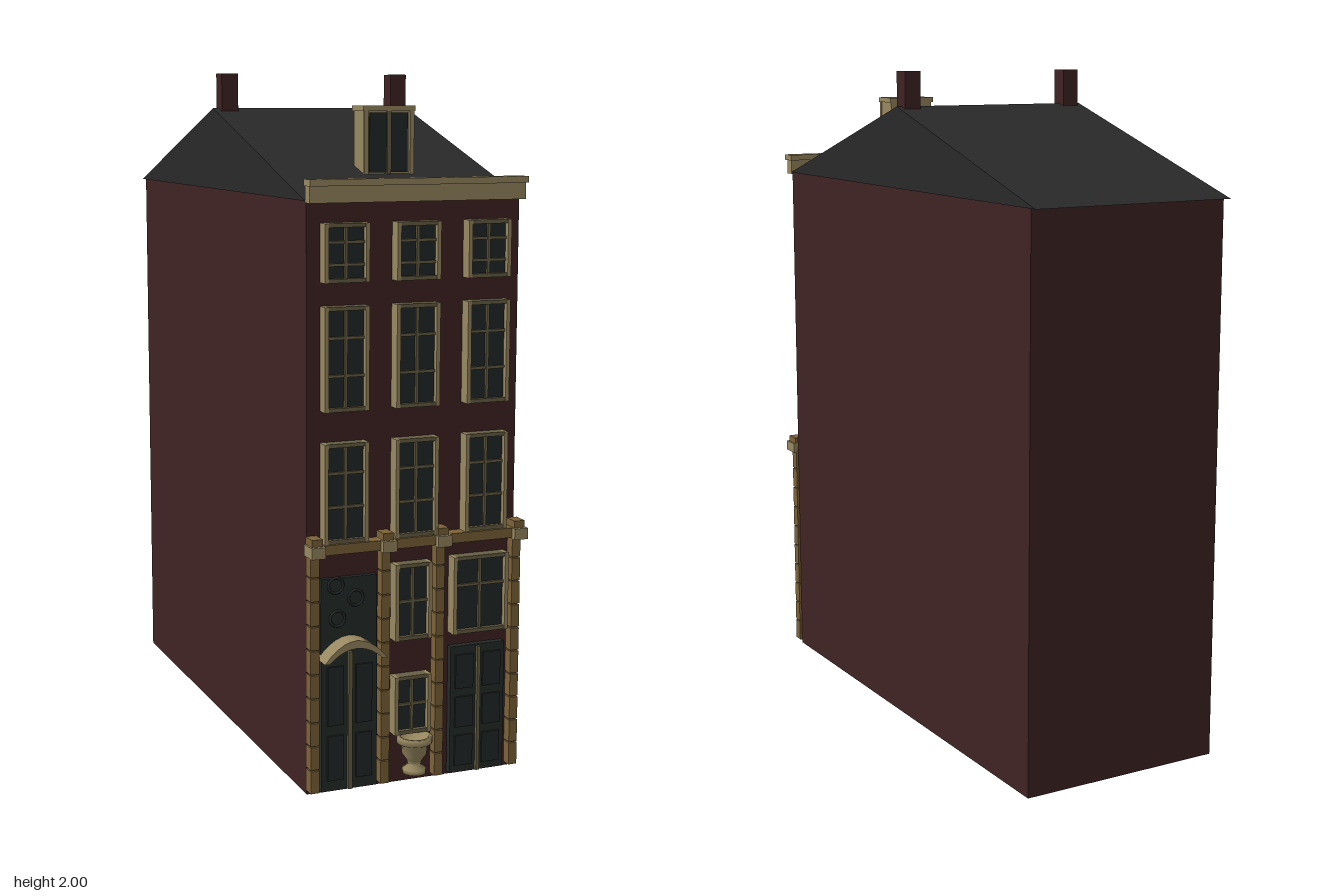
import * as THREE from 'three';

const material = (name, color) => {
  const m = new THREE.MeshStandardMaterial({ color });
  m.name = name;
  return m;
};

export function createModel() {
  const brick = material('brick', 0x402323);
  const slate = material('roof slate', 0x292929);
  const stone = material('pale stone', 0x988860);
  const ochre = material('ochre stone', 0x7c6238);
  const glass = material('dark glass', 0x232727);
  const wood = material('dark door wood', 0x252b2a);
  const bars = material('window bars', 0x686044);

  const model = new THREE.Group();
  model.name = 'townhouse';
  const WALL = 0.742; // front wall plane

  const add = (name, geometry, mat, parent = model) => {
    const mesh = new THREE.Mesh(geometry, mat);
    mesh.name = name;
    parent.add(mesh);
    return mesh;
  };
  // Box given by its limits on each axis
  const box = (name, mat, x0, x1, y0, y1, z0, z1, parent = model) => {
    const g = new THREE.BoxGeometry(x1 - x0, y1 - y0, z1 - z0);
    g.translate((x0 + x1) / 2, (y0 + y1) / 2, (z0 + z1) / 2);
    return add(name, g, mat, parent);
  };
  const group = (name) => {
    const g = new THREE.Group();
    g.name = name;
    model.add(g);
    return g;
  };

  // Brick body and gabled roof
  box('body', brick, -0.322, 0.313, 0, 1.657, -0.783, WALL);
  const gable = new THREE.Shape([[-0.81, 1.655], [0.747, 1.655], [-0.028, 1.897]].map((p) => new THREE.Vector2(...p)));
  const roof = new THREE.ExtrudeGeometry(gable, { depth: 0.642, bevelEnabled: false });
  roof.rotateY(-Math.PI / 2).translate(0.316, 0, 0);
  add('roof', roof, slate);

  // Chimneys on the ridge
  for (const x of [-0.281, 0.274]) box('chimney', brick, x - 0.026, x + 0.026, 1.83, 2, -0.051, 0.001);

  // Roof cornice
  box('cornice', stone, -0.326, 0.316, 1.65, 1.695, WALL, 0.776);
  box('corniceCap', stone, -0.328, 0.32, 1.695, 1.713, 0.737, 0.785);

  // Dormer
  const dormer = group('dormer');
  box('dormerBody', stone, -0.076, 0.072, 1.7, 1.893, 0.482, 0.552, dormer);
  box('dormerTop', stone, -0.081, 0.077, 1.89, 1.905, 0.478, 0.561, dormer);
  box('dormerGlass', glass, -0.06, 0.056, 1.72, 1.885, 0.55, 0.556, dormer);
  for (const x of [-0.072, -0.002, 0.068])
    box('dormerPost', x < -0.05 || x > 0.05 ? stone : bars, x - 0.006, x + 0.006, 1.715, 1.89, 0.55, 0.561, dormer);

  // Sash window with frame, centre bar and cross bars
  const sash = (name, cx, w, y0, y1, crossBars) => {
    const g = group(name);
    const x0 = cx - w / 2, x1 = cx + w / 2, t = 0.011;
    box('glass', glass, x0 + t, x1 - t, y0 + t, y1 - t, WALL, 0.764, g);
    box('leftJamb', stone, x1 - t, x1, y0, y1, WALL, 0.78, g);
    box('rightJamb', stone, x0, x0 + t, y0, y1, WALL, 0.78, g);
    box('head', bars, x0 + t, x1 - t, y1 - t, y1, WALL, 0.777, g);
    box('sill', bars, x0 + t, x1 - t, y0, y0 + t, WALL, 0.777, g);
    box('centreBar', bars, cx - 0.004, cx + 0.004, y0 + t, y1 - t, 0.76, 0.772, g);
    for (const f of crossBars) {
      const y = y0 + f * (y1 - y0);
      box('crossBar', bars, x0 + t, x1 - t, y - 0.004, y + 0.004, 0.76, 0.77, g);
    }
  };
  for (const cx of [-0.218, -0.007, 0.207]) {
    sash('firstFloorWindow', cx, 0.13, 0.722, 1.0, [0.36, 0.7]);
    sash('secondFloorWindow', cx, 0.13, 1.087, 1.373, [0.34, 0.7]);
    sash('topFloorWindow', cx, 0.13, 1.437, 1.596, [0.3, 0.68]);
  }
  sash('middleWindow', -0.014, 0.112, 0.425, 0.645, [0.5]);
  sash('lowerWindow', -0.014, 0.112, 0.15, 0.32, [0.5]);
  sash('shopWindow', 0.195, 0.172, 0.425, 0.65, [0.62]);

  // Banded pilasters carrying the string course
  box('stringCourse', ochre, -0.325, 0.318, 0.694, 0.722, WALL, 0.785);
  for (const cx of [-0.309, -0.097, 0.07, 0.308]) {
    const g = group('pilaster');
    box('core', ochre, cx - 0.01, cx + 0.01, 0.01, 0.7, WALL, 0.766, g);
    for (let i = 0; i < 10; i++)
      box('band', ochre, cx - 0.013, cx + 0.013, 0.012 + i * 0.069, 0.077 + i * 0.069, WALL, 0.773, g);
    box('capital', stone, cx - 0.021, cx + 0.021, 0.69, 0.722, WALL, 0.802, g);
    box('capitalBlock', ochre, cx - 0.016, cx + 0.016, 0.722, 0.742, WALL, 0.79, g);
  }

  // Arched double door with hood and panel above
  const entrance = group('entrance');
  const dx = -0.202, half = 0.084;
  const arch = new THREE.Shape();
  arch.moveTo(-half, 0.008).lineTo(half, 0.008).lineTo(half, 0.395);
  arch.quadraticCurveTo(0, 0.475, -half, 0.395).closePath();
  const leaf = new THREE.ExtrudeGeometry(arch, { depth: 0.02, bevelEnabled: false, curveSegments: 10 });
  add('archedDoor', leaf.translate(dx, 0, WALL), wood, entrance);
  box('doorCentre', bars, dx - 0.006, dx + 0.006, 0.01, 0.41, 0.76, 0.772, entrance);
  for (const s of [-1, 1]) {
    const x = dx + s * 0.043;
    box('doorPanel', glass, x - 0.024, x + 0.024, 0.04, 0.17, 0.76, 0.768, entrance);
    box('doorPanel', glass, x - 0.024, x + 0.024, 0.2, 0.37, 0.76, 0.768, entrance);
  }
  const hood = new THREE.Shape();
  hood.moveTo(-0.094, 0.395).lineTo(-0.08, 0.395).quadraticCurveTo(0, 0.468, 0.08, 0.395);
  hood.lineTo(0.094, 0.395).quadraticCurveTo(0, 0.513, -0.094, 0.395);
  const hoodGeo = new THREE.ExtrudeGeometry(hood, { depth: 0.072, bevelEnabled: false, curveSegments: 10 });
  add('archHood', hoodGeo.translate(dx, 0, WALL), stone, entrance);
  box('upperPanel', wood, dx - half, dx + half, 0.4, 0.62, WALL, 0.757, entrance);
  for (const [x, y] of [[-0.04, 0.6], [0.02, 0.56], [-0.035, 0.505]]) {
    const ring = add('ornamentRing', new THREE.TorusGeometry(0.022, 0.004, 6, 16), glass, entrance);
    ring.position.set(dx + x, y, 0.759);
  }

  // Panelled double door on the left bay
  const shop = group('shopDoor');
  box('doorLeaves', wood, 0.11, 0.28, 0.008, 0.385, WALL, 0.762, shop);
  box('doorCentre', bars, 0.19, 0.2, 0.01, 0.38, 0.76, 0.772, shop);
  for (const x of [0.152, 0.238])
    for (const [y0, y1] of [[0.03, 0.12], [0.145, 0.235], [0.26, 0.36]])
      box('doorPanel', glass, x - 0.028, x + 0.028, y0, y1, 0.76, 0.768, shop);

  // Urn in front of the middle bay
  const profile = [[0, 0.042], [0.034, 0.042], [0.034, 0.055], [0.018, 0.066], [0.022, 0.08], [0.036, 0.1],
    [0.038, 0.125], [0.051, 0.132], [0.051, 0.15], [0.04, 0.15], [0.034, 0.13], [0, 0.13]];
  const urn = new THREE.LatheGeometry(profile.map((p) => new THREE.Vector2(...p)), 16);
  add('urn', urn.translate(-0.016, 0, 0.794), stone);

  // The house stands at an angle to the front
  model.rotation.y = 0.477;
  const root = new THREE.Group();
  root.name = 'house';
  root.add(model);
  return root;
}
